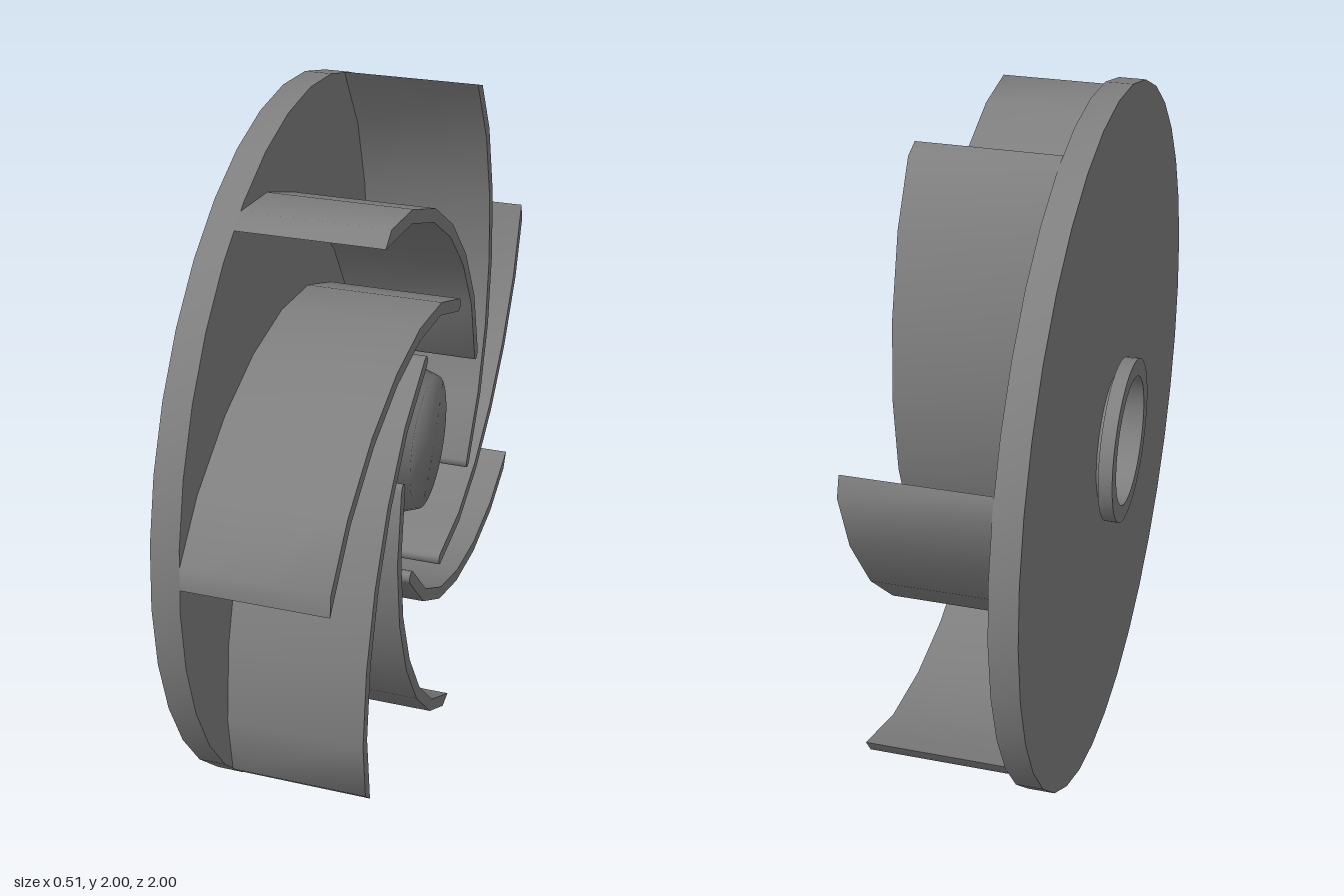
import * as THREE from 'three';
import { toCreasedNormals } from 'three/addons/utils/BufferGeometryUtils.js';

const material = new THREE.MeshStandardMaterial({ color: 0x808080 });
const BLADES = 7;
const HALF_THICKNESS = 0.018;
const BACK = -0.125, FRONT = 0.253;

// Solid of revolution around the x axis, from [radius, x] pairs
function turned(name, profile, crease) {
  const points = profile.map(([r, x]) => new THREE.Vector2(r, x));
  const geometry = new THREE.LatheGeometry(points, 36).rotateZ(-Math.PI / 2);
  const mesh = new THREE.Mesh(toCreasedNormals(geometry, crease), material);
  mesh.name = name;
  return mesh;
}

// Curved blade outline: a centre line thickened, trimmed at the disc's rim
function bladeShape() {
  const line = [
    [0.38, 0.107], [0.315, 0.308], [0.2, 0.482], [0.047, 0.627],
    [-0.134, 0.74], [-0.342, 0.816], [-0.556, 0.837],
  ].map(([x, y]) => new THREE.Vector2(x, y));
  const last = line.length - 1;
  const direction = (i) => line[Math.min(i + 1, last)].clone().sub(line[Math.max(i - 1, 0)]).normalize();

  const side = (sign) => line.map((p, i) => {
    const d = direction(i);
    const q = new THREE.Vector2(-d.y, d.x).multiplyScalar(sign * HALF_THICKNESS).add(p);
    if (i < last) return q;
    // slide the tip along the blade until it meets the rim circle
    const b = q.dot(d);
    const t = -b + Math.sqrt(b * b - q.lengthSq() + 0.997);
    return q.addScaledVector(d, t);
  });

  // rounded inner end
  const d0 = direction(0);
  const n0 = new THREE.Vector2(-d0.y, d0.x);
  const cap = [0.7, 0, -0.7].map((s) => line[0].clone()
    .addScaledVector(n0, s * HALF_THICKNESS)
    .addScaledVector(d0, -HALF_THICKNESS * Math.sqrt(1 - s * s)));
  return new THREE.Shape([...cap, ...side(-1), ...side(1).reverse()]);
}

export function createModel() {
  const model = new THREE.Group();
  model.name = 'impeller';

  // Back disc
  const disc = turned('backDisc', [
    [0.185, -0.2], [1, -0.2], [1, BACK], [0.185, BACK],
  ], 0.5);

  // Tapered hub, its foot blending softly into the disc
  const hub = turned('hub', [
    [0.33, BACK], [0.31, BACK + 0.002], [0.19, 0.215], [0, 0.215],
  ], 1.25);

  // Flanged collar at the back, bored through into the hub
  const collar = turned('collar', [
    [0, 0.19], [0.185, 0.19], [0.185, -0.255], [0.235, -0.255], [0.235, -0.215],
    [0.19, -0.215], [0.19, -0.2],
  ], 0.5);
  model.add(disc, hub, collar);

  // Ring of swept blades on the front of the disc
  const bladeGeometry = toCreasedNormals(
    new THREE.ExtrudeGeometry(bladeShape(), { depth: FRONT - BACK, bevelEnabled: false }), 0.85);
  const blades = new THREE.Group();
  blades.name = 'blades';
  for (let i = 0; i < BLADES; i++) {
    const blade = new THREE.Mesh(bladeGeometry, material);
    blade.name = 'blade';
    blade.position.z = BACK;
    blade.rotation.z = (i / BLADES) * Math.PI * 2;
    blades.add(blade);
  }
  blades.rotation.y = Math.PI / 2;
  model.add(blades);

  model.children.forEach((part) => { part.position.y = 1; });
  return model;
}
